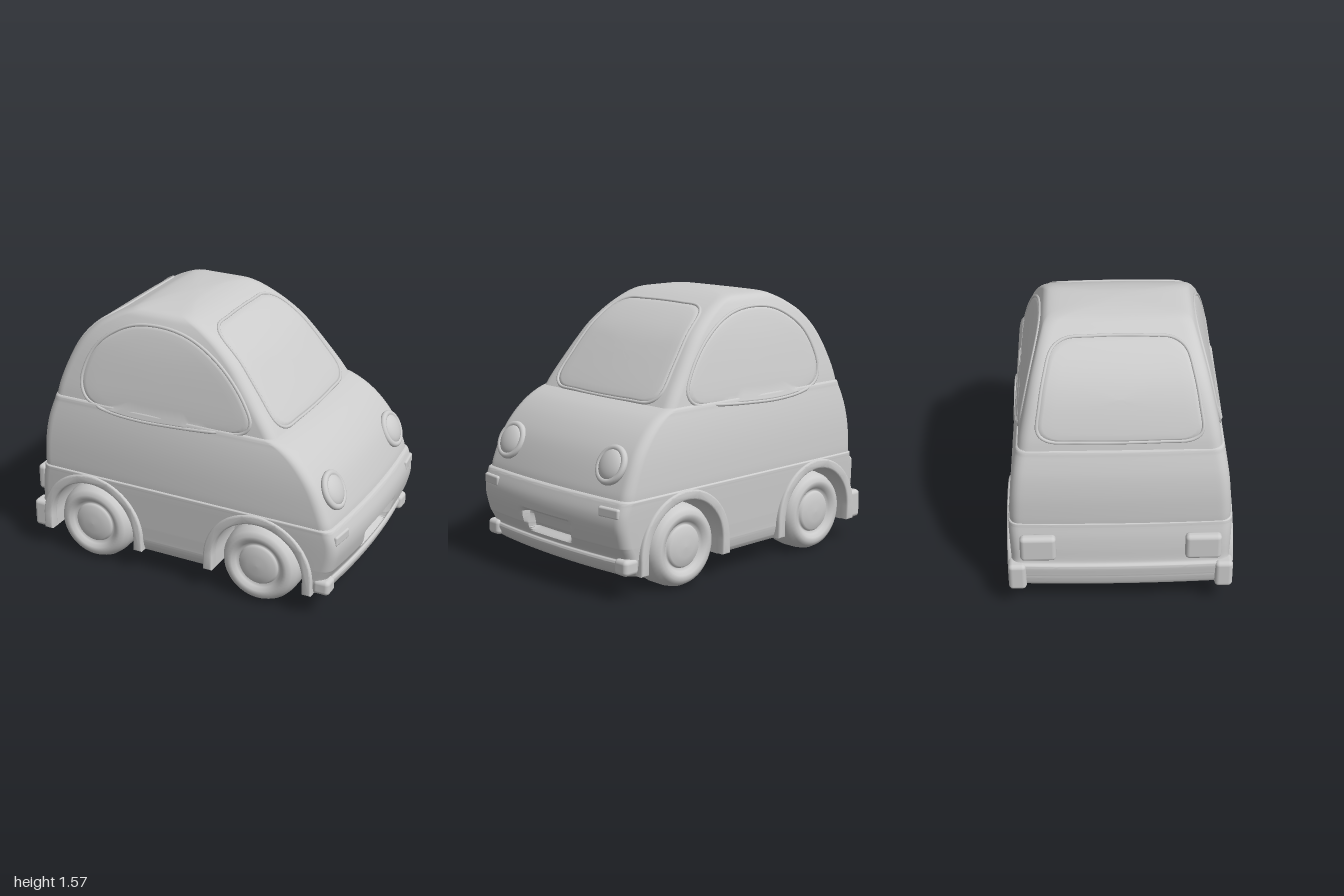
import * as THREE from 'three';
import { toCreasedNormals } from 'three/addons/utils/BufferGeometryUtils.js';
import { RoundedBoxGeometry } from 'three/addons/geometries/RoundedBoxGeometry.js';

const grey = new THREE.MeshStandardMaterial({ color: 0xcccccc });
const thin = new THREE.MeshStandardMaterial({ color: 0xcccccc, side: THREE.DoubleSide });
const WHEELS = [0.49, -0.585]; // axle positions along x
const ARCH_Y = 0.22, ARCH_R = 0.285, WELL_Z = 0.33;

// Rows: height, rear x, front x, half width
const LOWER = [
  [0.13, -0.93, 0.89, 0.572], [0.155, -0.965, 0.92, 0.588], [0.2, -0.978, 0.94, 0.6], [0.22, -0.98, 0.938, 0.602],
  [0.235, -0.982, 0.93, 0.603], [0.29, -0.985, 0.958, 0.607], [0.31, -0.965, 0.967, 0.608], [0.4, -0.958, 0.988, 0.612],
  [0.47, -0.95, 0.988, 0.615], [0.53, -0.938, 0.97, 0.617], [0.555, -0.932, 0.955, 0.615], [0.562, -0.9, 0.92, 0.58],
];
const UPPER = [
  [0.545, -0.93, 0.945, 0.609], [0.6, -0.931, 0.93, 0.609], [0.7, -0.928, 0.89, 0.604], [0.78, -0.92, 0.848, 0.597],
  [0.85, -0.908, 0.795, 0.588], [0.91, -0.892, 0.735, 0.578], [0.96, -0.876, 0.665, 0.568], [0.995, -0.863, 0.585, 0.56],
  [1.002, -0.83, 0.55, 0.53],
];
const CABIN = [
  [0.98, -0.862, 0.578, 0.555], [1.06, -0.845, 0.525, 0.542], [1.16, -0.812, 0.45, 0.521], [1.26, -0.768, 0.372, 0.498],
  [1.35, -0.71, 0.295, 0.474], [1.43, -0.63, 0.2, 0.447], [1.49, -0.535, 0.105, 0.423], [1.53, -0.45, 0.02, 0.4],
  [1.55, -0.4, -0.04, 0.36], [1.561, -0.34, -0.09, 0.26], [1.567, -0.28, -0.13, 0.14], [1.57, -0.22, -0.18, 0.03],
];

// Smooth row sampler shared by the lofts and the window panels
function sampler(rows) {
  const a = new THREE.CatmullRomCurve3(rows.map(r => new THREE.Vector3(r[1], r[0], r[2])), false, 'catmullrom', 0.5);
  const b = new THREE.CatmullRomCurve3(rows.map(r => new THREE.Vector3(r[3], r[0], 0)), false, 'catmullrom', 0.5);
  const at = t => {
    const p = a.getPoint(t);
    return { y: p.y, xb: p.x, xf: p.z, w: b.getPoint(t).x };
  };
  const atY = y => {
    let lo = 0, hi = 1;
    for (let i = 0; i < 24; i++) {
      const m = (lo + hi) / 2;
      if (a.getPoint(m).y < y) lo = m; else hi = m;
    }
    return at(lo);
  };
  return { at, atY };
}

const step = THREE.MathUtils.smoothstep;
const frontX = (s, z, bow) => s.xf - bow * (z / s.w) ** 2;
const rearX = (s, z, bow) => s.xb + 0.4 * bow * (z / s.w) ** 2;
// Depth of the grille recess, wider towards its top
function grille(y, z) {
  const half = 0.17 + (y - 0.26) * 0.3;
  return 0.055 * step(y, 0.25, 0.285) * (1 - step(y, 0.365, 0.395)) * (1 - step(Math.abs(z), half - 0.02, half + 0.02));
}

// Horizontal outline: rounded rectangle with bowed ends and optional wheel wells
function section(s, bow, wells) {
  const N = 26, C = 6, r = Math.min(0.06, s.w * 0.5), half = [];
  const e = s.w - r;
  for (let i = 0; i <= N; i++) {
    const z = e * i / N;
    half.push([frontX(s, z, bow) - (wells ? grille(s.y, z) : 0), z]);
  }
  const fx = frontX(s, e, bow) - r, bx = rearX(s, e, bow) + r;
  for (let i = 1; i <= C; i++) {
    const a = i / C * Math.PI / 2;
    half.push([fx + r * Math.cos(a), e + r * Math.sin(a)]);
  }
  if (wells) {
    const d = Math.max(0, s.y - ARCH_Y);
    const h = Math.sqrt(Math.max(0, ARCH_R ** 2 - d * d));
    const zi = h > 0 ? WELL_Z : s.w;
    for (const cx of WHEELS) half.push([cx + h, s.w], [cx + h, zi], [cx - h, zi], [cx - h, s.w]);
  }
  for (let i = 0; i <= C; i++) {
    const a = (1 + i / C) * Math.PI / 2;
    half.push([bx + r * Math.cos(a), e + r * Math.sin(a)]);
  }
  for (let i = N - 1; i >= 0; i--) half.push([rearX(s, e * i / N, bow), e * i / N]);
  return half.concat(half.slice(1, -1).reverse().map(([x, z]) => [x, -z]));
}

// Skin the outlines from bottom to top; cap is 'bottom', 'top' or none
function loft(rows, bow, wells, cap) {
  const { at } = sampler(rows), n = (rows.length - 1) * 6, pos = [], idx = [], rings = [];
  for (let j = 0; j <= n; j++) {
    const s = at(j / n), ring = section(s, bow, wells);
    rings.push(ring);
    ring.forEach(([x, z]) => pos.push(x, s.y, z));
  }
  const m = rings[0].length;
  for (let j = 0; j < n; j++) for (let i = 0; i < m; i++) {
    const a = j * m + i, b = j * m + (i + 1) % m;
    idx.push(a, a + m, b, b, a + m, b + m);
  }
  if (cap) {
    const k = cap === 'top' ? n : 0, pts = rings[k].map(p => new THREE.Vector2(...p));
    for (const [a, b, c] of THREE.ShapeUtils.triangulateShape(pts, [])) {
      const down = THREE.ShapeUtils.area([pts[a], pts[b], pts[c]]) > 0;
      const tri = down === (cap === 'bottom') ? [a, b, c] : [a, c, b];
      idx.push(...tri.map(i => i + k * m));
    }
  }
  const g = new THREE.BufferGeometry();
  g.setAttribute('position', new THREE.Float32BufferAttribute(pos, 3));
  g.setIndex(idx);
  return toCreasedNormals(g, 0.6);
}

// Window pane that follows the body, with a seam and a slim rounded frame
function pane(name, outline, project) {
  const curve = new THREE.CatmullRomCurve3(outline.map(([u, v]) => new THREE.Vector3(u, v, 0)), true);
  const M = 80, rim = curve.getSpacedPoints(M).slice(0, M);
  const c = rim.reduce((s, p) => s.add(p), new THREE.Vector3()).divideScalar(M);
  const rings = [0, 0.2, 0.4, 0.6, 0.8, 0.93, 0.97, 1], pos = [], idx = [];
  rings.forEach((k, j) => rim.forEach((p, i) => {
    const q = c.clone().lerp(p, k);
    pos.push(...project(q.x, q.y, k < 0.95 ? 0.006 : k < 1 ? 0.003 : -0.006));
    const a = j * M + i, b = j * M + (i + 1) % M;
    if (j < rings.length - 1) idx.push(a, a + M, b, b, a + M, b + M);
  }));
  const g = new THREE.BufferGeometry();
  g.setAttribute('position', new THREE.Float32BufferAttribute(pos, 3));
  g.setIndex(idx);
  g.computeVertexNormals();
  const path = new THREE.CatmullRomCurve3(rim.map(p => new THREE.Vector3(...project(p.x, p.y, -0.001))), true);
  const group = new THREE.Group();
  group.name = name;
  add(group, 'glass', g, 0, 0, 0, thin);
  add(group, 'windowFrame', new THREE.TubeGeometry(path, 120, 0.01, 8, true));
  return group;
}

function add(parent, name, geometry, x = 0, y = 0, z = 0, material = grey) {
  const mesh = new THREE.Mesh(geometry, material);
  mesh.name = name;
  mesh.position.set(x, y, z);
  parent.add(mesh);
  return mesh;
}

export function createModel() {
  const car = new THREE.Group();
  car.name = 'car';

  // Body shells
  add(car, 'lowerBody', loft(LOWER, 0.04, true, 'bottom'));
  add(car, 'upperBody', loft(UPPER, 0.035, false));
  add(car, 'cabin', loft(CABIN, 0.02, false, 'top'));
  add(car, 'undertray', new THREE.BoxGeometry(0.7, 0.05, 0.68), -0.03, 0.12, 0);

  // Windows
  const cab = sampler(CABIN).atY, hood = sampler(UPPER).atY;
  const sideOutline = [[-0.67, 1.1], [-0.63, 1.015], [-0.5, 0.97], [-0.3, 0.952], [-0.05, 0.96], [0.2, 0.98], [0.37, 1.005],
    [0.408, 1.06], [0.35, 1.18], [0.2, 1.335], [0, 1.445], [-0.2, 1.48], [-0.4, 1.455], [-0.57, 1.35], [-0.645, 1.23]];
  const sideZ = y => (y > 0.98 ? cab(y).w : Math.max(hood(y).w, cab(0.981).w));
  for (const s of [1, -1]) car.add(pane(s > 0 ? 'rightSideWindow' : 'leftSideWindow', sideOutline, (x, y, o) => [x, y, s * (sideZ(y) + o)]));
  const right = [[0.22, 1.005], [0.39, 1.015], [0.44, 1.06], [0.43, 1.2], [0.4, 1.36], [0.365, 1.455], [0.3, 1.492], [0.15, 1.502]];
  const screen = right.concat(right.map(([z, y]) => [-z, y]).reverse());
  car.add(pane('windscreen', screen, (z, y, o) => { const s = cab(y); return [frontX(s, z, 0.02) + o, y + o * 0.6, z]; }));
  car.add(pane('rearWindow', screen.map(([z, y]) => [z, y + (1.5 - y) * 0.08]),
    (z, y, o) => { const s = cab(y); return [rearX(s, z, 0.02) - o, y + o * 0.5, z]; }));

  // Wheel profile, from the inner face to the hub cap
  const wheel = new THREE.LatheGeometry([[0, -0.25], [0.16, -0.255], [0.205, -0.245], [0.228, -0.215], [0.235, -0.17], [0.235, -0.09],
    [0.228, -0.045], [0.21, -0.012], [0.185, 0.004], [0.16, 0], [0.14, -0.018], [0.125, -0.035], [0.12, -0.022], [0.108, -0.01],
    [0.06, 0], [0, 0.003]].map(p => new THREE.Vector2(...p)), 48);
  // Arch lip: half ring with short straight legs
  const lip = new THREE.Shape();
  lip.moveTo(0.325, -0.075);
  lip.lineTo(0.325, 0);
  lip.absarc(0, 0, 0.325, 0, Math.PI, false);
  lip.lineTo(-0.325, -0.075);
  lip.lineTo(-0.29, -0.075);
  lip.lineTo(-0.29, 0);
  lip.absarc(0, 0, 0.29, Math.PI, 0, true);
  lip.lineTo(0.29, -0.075);
  const lipGeo = toCreasedNormals(new THREE.ExtrudeGeometry(lip, { depth: 0.04, bevelThickness: 0.012, bevelSize: 0.01, bevelSegments: 3, curveSegments: 40 }).translate(0, 0, -0.02), 0.7);

  for (const s of [1, -1]) {
    for (const x of WHEELS) {
      add(car, 'wheel', wheel, x, 0.235, s * 0.615).rotation.x = s * Math.PI / 2;
      add(car, 'wheelArch', lipGeo, x, ARCH_Y, s * 0.598);
    }
    // Headlight: domed lens in a rounded ring, tilted with the bonnet
    const lamp = new THREE.Group();
    lamp.name = 'headlight';
    const h = hood(0.725);
    lamp.position.set(frontX(h, 0.435, 0.035) + 0.005, 0.725, s * 0.435);
    lamp.rotation.z = 0.45;
    add(lamp, 'lampRing', new THREE.TorusGeometry(0.094, 0.019, 12, 48)).rotation.y = Math.PI / 2;
    add(lamp, 'lampLens', new THREE.SphereGeometry(0.09, 32, 20)).scale.x = 0.42;
    car.add(lamp);
    // Small lamps and bumper corners
    add(car, 'indicator', new RoundedBoxGeometry(0.03, 0.058, 0.145, 3, 0.012), 0.948, 0.493, s * 0.512).rotation.y = -s * 0.11;
    add(car, 'tailLight', new RoundedBoxGeometry(0.06, 0.16, 0.2, 4, 0.025), -0.968, 0.425, s * 0.455);
    add(car, 'rearBumperCorner', new RoundedBoxGeometry(0.1, 0.17, 0.1, 4, 0.025), -0.94, 0.22, s * 0.575);
    add(car, 'frontBumperCorner', new RoundedBoxGeometry(0.1, 0.09, 0.1, 4, 0.025), 0.875, 0.195, s * 0.56);
  }
  return car;
}
